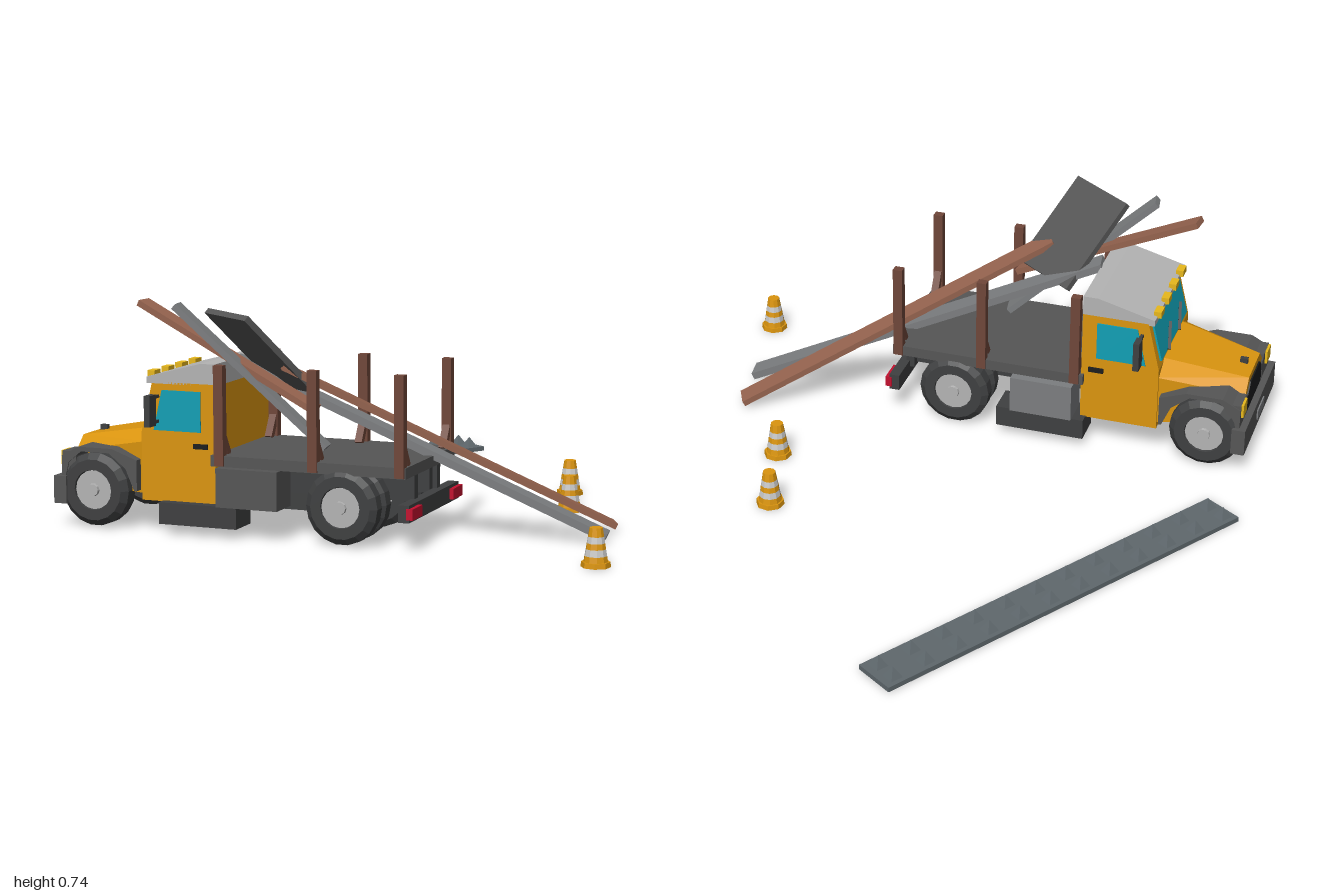
import * as THREE from 'three';
import { ConvexGeometry } from 'three/addons/geometries/ConvexGeometry.js';

const C = {
  yellow: 0xdb950f, dark: 0x3f4041, grey: 0x565656, light: 0xb4b4b4, steel: 0x7c7e80, black: 0x1c1d1e,
  brown: 0x70473a, wood: 0x96644f, glass: 0x12a0b5, red: 0xc4102f, strip: 0x5f686d, lamp: 0xe8b81c, white: 0xcccccc
};

const materials = {};
function mat(color) {
  return materials[color] ??= new THREE.MeshStandardMaterial({ color, flatShading: true });
}

function add(parent, name, geometry, color, x = 0, y = 0, z = 0) {
  const mesh = new THREE.Mesh(geometry, mat(color));
  mesh.name = name;
  mesh.position.set(x, y, z);
  parent.add(mesh);
  return mesh;
}

function box(parent, name, color, w, h, d, x, y, z) {
  return add(parent, name, new THREE.BoxGeometry(w, h, d), color, x, y, z);
}

// Side profile of [z, y] points, extruded across x
function profile(parent, name, color, points, width, x = 0) {
  const shape = new THREE.Shape(points.map(p => new THREE.Vector2(p[0], p[1])));
  const g = new THREE.ExtrudeGeometry(shape, { depth: width, bevelEnabled: false });
  g.rotateY(-Math.PI / 2);
  g.translate(width / 2, 0, 0);
  return add(parent, name, g, color, x);
}

// Flat board running from point a to point b
function board(parent, name, color, a, b, width, thickness) {
  const from = new THREE.Vector3(...a), to = new THREE.Vector3(...b);
  const mesh = new THREE.Mesh(new THREE.BoxGeometry(width, thickness, from.distanceTo(to)), mat(color));
  mesh.name = name;
  mesh.position.copy(from).lerp(to, 0.5);
  mesh.lookAt(to);
  parent.add(mesh);
}

function wheel(parent, name, side, x, z, width) {
  const group = new THREE.Group();
  group.name = name;
  group.position.set(side * x, 0.125, z);
  group.rotation.z = -side * Math.PI / 2;
  parent.add(group);
  const h = width / 2;
  const tyre = [[0.06, -h], [0.1, -h], [0.12, -h * 0.55], [0.12, h * 0.55], [0.1, h], [0.066, h], [0.062, h * 0.6]];
  add(group, 'tyre', new THREE.LatheGeometry(tyre.map(p => new THREE.Vector2(...p)), 18), C.dark);
  add(group, 'rim', new THREE.CylinderGeometry(0.064, 0.064, width * 0.85, 16), C.light);
  add(group, 'hub', new THREE.CylinderGeometry(0.02, 0.03, width * 1.1, 10), C.light);
}

function cab(truck) {
  profile(truck, 'cab', C.yellow, [[0.05, 0.1], [0.31, 0.1], [0.31, 0.32], [0.27, 0.485], [0.05, 0.485]], 0.41);
  profile(truck, 'roof', C.light, [[0.05, 0.48], [0.29, 0.48], [0.29, 0.5], [0.1, 0.55], [0.05, 0.55]], 0.41);
  profile(truck, 'windshield', C.glass, [[0.26, 0.465], [0.281, 0.465], [0.312, 0.34], [0.29, 0.34]], 0.35);
  profile(truck, 'sideWindows', C.glass, [[0.1, 0.33], [0.265, 0.33], [0.235, 0.46], [0.1, 0.46]], 0.418);
  box(truck, 'doorHandles', C.black, 0.424, 0.016, 0.05, 0, 0.285, 0.1);
  for (const x of [-0.15, -0.05, 0.05, 0.15]) box(truck, 'roofLight', C.lamp, 0.045, 0.022, 0.025, x, 0.505, 0.29);
  for (const x of [-0.1, 0.04]) board(truck, 'wiper', C.black, [x, 0.345, 0.318], [x + 0.07, 0.41, 0.302], 0.01, 0.008);

  // Tapered hood
  const hood = [];
  for (const s of [-1, 1]) {
    for (const p of [[0.2, 0.12, 0.3], [0.2, 0.29, 0.3], [0.13, 0.328, 0.3], [0.13, 0.13, 0.585], [0.13, 0.235, 0.585], [0.085, 0.278, 0.585]])
      hood.push(new THREE.Vector3(s * p[0], p[1], p[2]));
  }
  add(truck, 'hood', new ConvexGeometry(hood), C.yellow);
  const grille = new THREE.Shape([[-0.105, 0.14], [0.105, 0.14], [0.105, 0.225], [0.07, 0.255], [-0.07, 0.255], [-0.105, 0.225]]
    .map(p => new THREE.Vector2(...p)));
  add(truck, 'grille', new THREE.ExtrudeGeometry(grille, { depth: 0.012, bevelEnabled: false }), C.black, 0, 0, 0.578);
  box(truck, 'hoodOrnament', C.dark, 0.016, 0.025, 0.025, 0, 0.288, 0.55);

  box(truck, 'frontBumper', C.grey, 0.48, 0.09, 0.045, 0, 0.12, 0.59);
  box(truck, 'bumperPlate', C.steel, 0.1, 0.035, 0.01, 0, 0.12, 0.612);

  // Fender arches, headlights and mirrors
  const arch = [[0.32, 0.13], [0.33, 0.13], [0.36, 0.2], [0.42, 0.247], [0.52, 0.247], [0.565, 0.21], [0.58, 0.15],
    [0.59, 0.15], [0.59, 0.23], [0.53, 0.262], [0.41, 0.262], [0.32, 0.23]];
  for (const s of [-1, 1]) {
    profile(truck, 'fender', C.grey, arch, 0.11, s * 0.17);
    box(truck, 'headlightHousing', C.grey, 0.085, 0.08, 0.05, s * 0.178, 0.205, 0.565);
    box(truck, 'headlight', C.lamp, 0.055, 0.045, 0.02, s * 0.185, 0.222, 0.588);
    box(truck, 'mirror', C.dark, 0.045, 0.1, 0.02, s * 0.262, 0.4, 0.25);
    box(truck, 'mirrorArm', C.dark, 0.06, 0.01, 0.01, s * 0.225, 0.44, 0.25);
    box(truck, 'mirrorArm', C.dark, 0.06, 0.01, 0.01, s * 0.225, 0.36, 0.25);
  }
}

function flatbed(truck) {
  box(truck, 'bed', C.grey, 0.44, 0.035, 0.66, 0, 0.245, -0.27);
  for (const s of [-1, 1]) {
    box(truck, 'chassisRail', C.dark, 0.035, 0.09, 1.15, s * 0.075, 0.18, 0);
    box(truck, 'sideTank', s < 0 ? C.steel : C.grey, 0.11, 0.125, 0.21, s * 0.195, 0.165, -0.075);
    // Stakes with slanted braces
    for (const z of [0.03, -0.29, -0.58]) {
      box(truck, 'stake', C.brown, 0.028, 0.32, 0.032, s * 0.212, 0.39, z);
      board(truck, 'stakeBrace', C.brown, [s * 0.205, 0.33, z], [s * 0.165, 0.262, z], 0.025, 0.02);
    }
    box(truck, 'tailLight', C.red, 0.085, 0.035, 0.022, s * 0.185, 0.12, -0.615);
    box(truck, 'tailHanger', C.dark, 0.03, 0.11, 0.03, s * 0.1, 0.18, -0.575);
    wheel(truck, 'frontWheel', s, 0.19, 0.475, 0.085);
    wheel(truck, 'rearOuterWheel', s, 0.195, -0.385, 0.07);
    wheel(truck, 'rearInnerWheel', s, 0.118, -0.385, 0.07);
  }
  box(truck, 'leftStep', C.dark, 0.11, 0.07, 0.27, 0.185, 0.068, 0.1);
  box(truck, 'rightLowerTank', C.dark, 0.11, 0.07, 0.3, -0.185, 0.068, -0.08);
  box(truck, 'rearBumper', C.dark, 0.45, 0.055, 0.035, 0, 0.12, -0.595);
  for (const z of [0.475, -0.385]) {
    const axle = add(truck, 'axle', new THREE.CylinderGeometry(0.022, 0.022, 0.36, 10), C.dark, 0, 0.125, z);
    axle.rotation.z = Math.PI / 2;
  }
}

function trafficCone(parent, x, z) {
  const cone = new THREE.Group();
  cone.name = 'trafficCone';
  cone.position.set(x, 0, z);
  parent.add(cone);
  add(cone, 'coneBase', new THREE.CylinderGeometry(0.044, 0.046, 0.016, 8), C.yellow, 0, 0.008);
  const levels = [0.016, 0.034, 0.055, 0.073, 0.093, 0.12];
  const radius = y => 0.038 - 0.17 * (y - 0.016);
  for (let i = 0; i < 5; i++) {
    const a = levels[i], b = levels[i + 1];
    add(cone, i % 2 ? 'whiteBand' : 'coneBand', new THREE.CylinderGeometry(radius(b), radius(a), b - a, 10),
      i % 2 ? C.white : C.yellow, 0, (a + b) / 2);
  }
}

export function createModel() {
  const model = new THREE.Group();
  model.name = 'roadblock';

  const truck = new THREE.Group();
  truck.name = 'truck';
  truck.position.set(-0.47, 0, -0.17);
  truck.rotation.y = Math.PI + 0.574;
  model.add(truck);
  cab(truck);
  flatbed(truck);

  // Loose boards and plate leaning on the truck
  board(model, 'longWoodBoard', C.wood, [0.41, 0.02, 0.58], [-0.51, 0.55, 0.045], 0.075, 0.02);
  board(model, 'shortWoodBoard', C.wood, [-0.74, 0.725, -0.42], [-0.45, 0.42, 0.14], 0.06, 0.02);
  board(model, 'longSteelBeam', C.steel, [0.27, 0.02, 0.705], [-0.53, 0.55, -0.19], 0.075, 0.025);
  board(model, 'shortSteelBeam', C.steel, [-0.73, 0.73, -0.23], [-0.4, 0.29, 0.13], 0.06, 0.02);
  board(model, 'steelPlate', C.grey, [-0.665, 0.715, -0.035], [-0.42, 0.47, -0.02], 0.26, 0.02);

  // Spike strip
  const strip = new THREE.Group();
  strip.name = 'spikeStrip';
  model.add(strip);
  box(strip, 'stripBase', C.strip, 1.4, 0.016, 0.14, 0.3, 0.008, -0.93);
  for (let i = 0; i < 12; i++) {
    for (const z of [-0.965, -0.897]) {
      const spike = add(strip, 'spike', new THREE.ConeGeometry(0.031, 0.038, 4), C.strip, -0.363 + i * 0.12, 0.033, z);
      spike.rotation.y = Math.PI / 4;
    }
  }

  trafficCone(model, 0.695, 0.015);
  trafficCone(model, 0.505, 0.24);
  trafficCone(model, 0.015, 0.95);
  return model;
}
